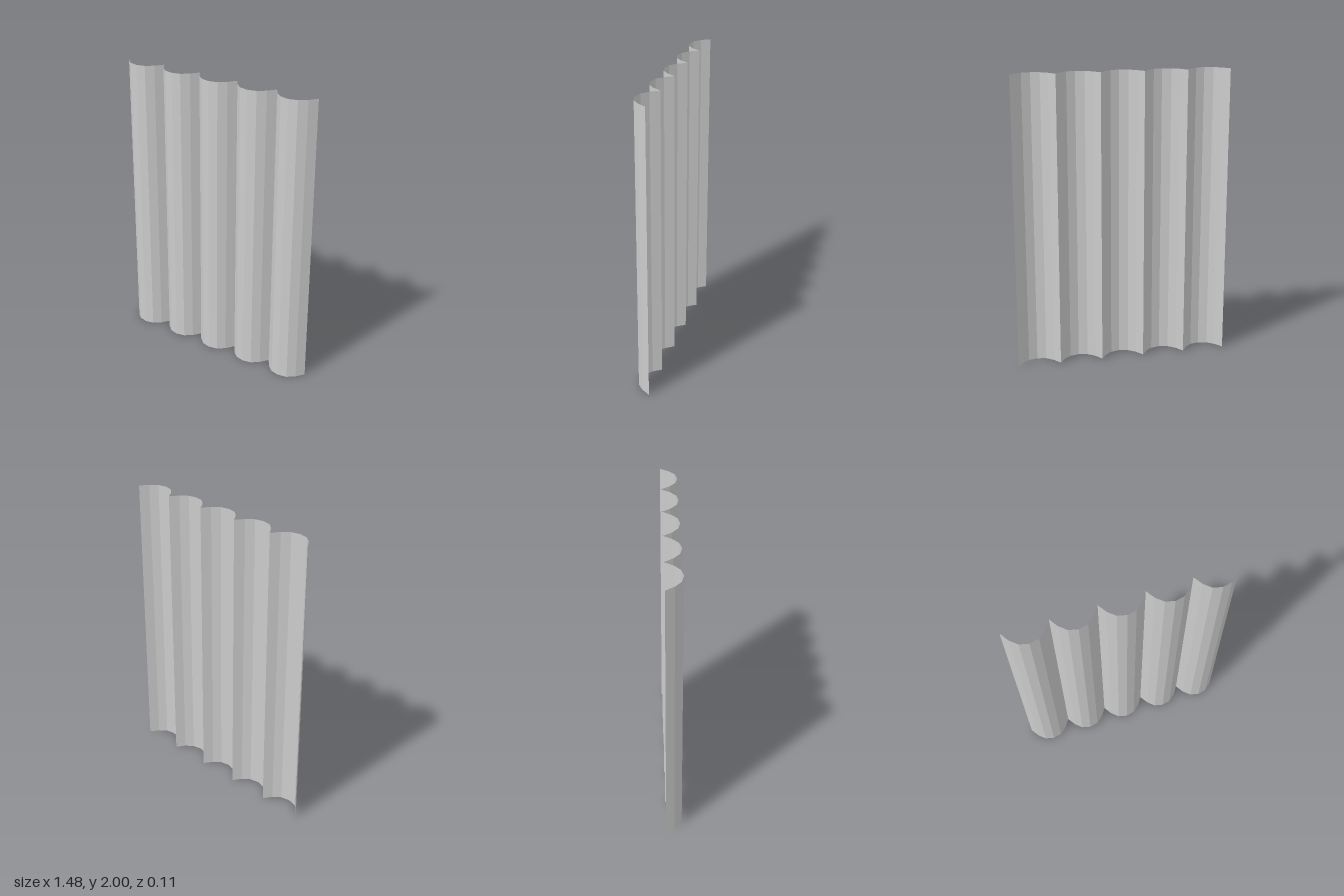
import * as THREE from 'three';

const HEIGHT = 2;
const FLUTES = 5;
const PITCH = 0.295;

// Half of one scallop: [offset from its centre line, z]
const HALF = [[0, 0.056], [0.061, 0.042], [0.109, 0.001], [PITCH / 2, -0.056]];
const SCALLOP = [...HALF.slice(1).reverse().map(([x, z]) => [-x, z]), ...HALF];

// One thin faceted scallop, swept straight up
function scallopGeometry() {
  const positions = [];
  const indices = [];
  SCALLOP.forEach(([x, z], i) => {
    positions.push(x, 0, z, x, HEIGHT, z);
    if (i === 0) return;
    const a = 2 * (i - 1);
    indices.push(a, a + 2, a + 3, a, a + 3, a + 1);
  });
  const geometry = new THREE.BufferGeometry();
  geometry.setAttribute('position', new THREE.Float32BufferAttribute(positions, 3));
  geometry.setIndex(indices);
  geometry.computeVertexNormals();
  return geometry;
}

export function createModel() {
  const group = new THREE.Group();
  group.name = 'scallopedPanel';
  const material = new THREE.MeshStandardMaterial({
    color: 0xcccccc, flatShading: true, side: THREE.DoubleSide,
  });
  const geometry = scallopGeometry();

  // Row of scallops meeting at sharp rear creases
  for (let i = 0; i < FLUTES; i++) {
    const flute = new THREE.Mesh(geometry, material);
    flute.name = `flute${i + 1}`;
    flute.position.x = (i - (FLUTES - 1) / 2) * PITCH;
    group.add(flute);
  }
  return group;
}
